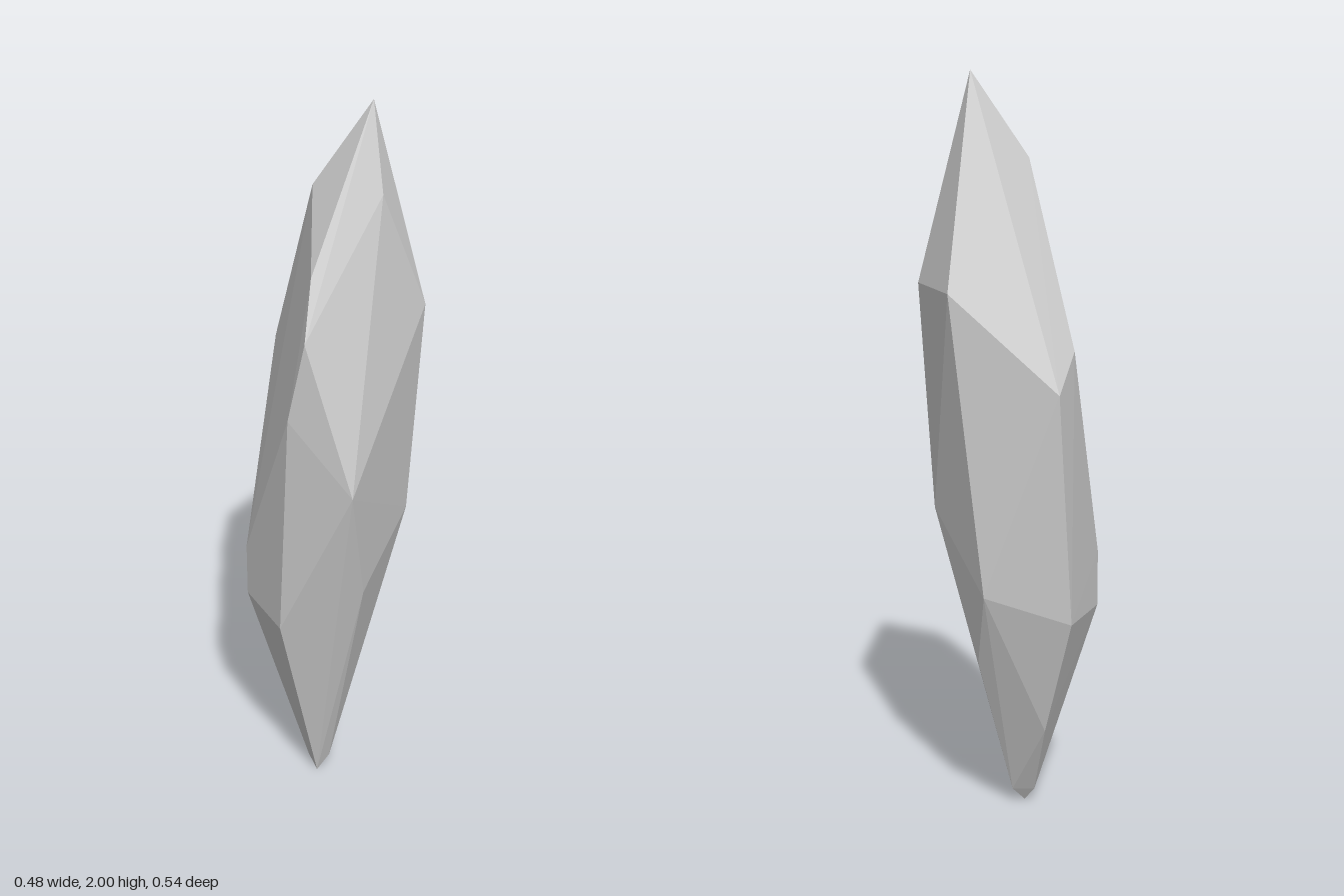
import * as THREE from 'three';
import { ConvexGeometry } from 'three/addons/geometries/ConvexGeometry.js';

// Corners of the faceted shard, listed from the tip down
const corners = [
  // tip and upper ridge
  [0.10, 2.0, -0.02], [-0.05, 1.78, -0.03], [0.125, 1.78, 0.045], [-0.05, 1.61, 0.17],
  // shoulders
  [0.238, 1.46, -0.03], [0.17, 1.46, -0.27], [-0.065, 1.46, 0.23],
  [-0.155, 1.3, -0.19], [-0.11, 1.24, 0.21], [-0.11, 1.2, -0.268],
  // waist
  [0.055, 1.05, 0.27], [0.2, 0.86, -0.035], [-0.238, 0.73, -0.035],
  [0.085, 0.7, 0.15], [0.08, 0.66, -0.22],
  // lower ring
  [-0.238, 0.58, -0.035], [-0.14, 0.58, 0.15], [-0.15, 0.58, -0.215], [0.09, 0.45, -0.12],
  // foot
  [-0.09, 0.25, -0.115], [-0.01, 0.04, -0.005], [-0.07, 0.04, -0.01], [-0.045, 0, 0.015],
];

export function createModel() {
  const model = new THREE.Group();
  model.name = 'crystalShard';

  // Single faceted stone wrapped around the corners
  const geometry = new ConvexGeometry(corners.map((c) => new THREE.Vector3(...c)));
  const material = new THREE.MeshStandardMaterial({ color: 0xcccccc, flatShading: true });
  const crystal = new THREE.Mesh(geometry, material);
  crystal.name = 'crystal';
  model.add(crystal);

  return model;
}
